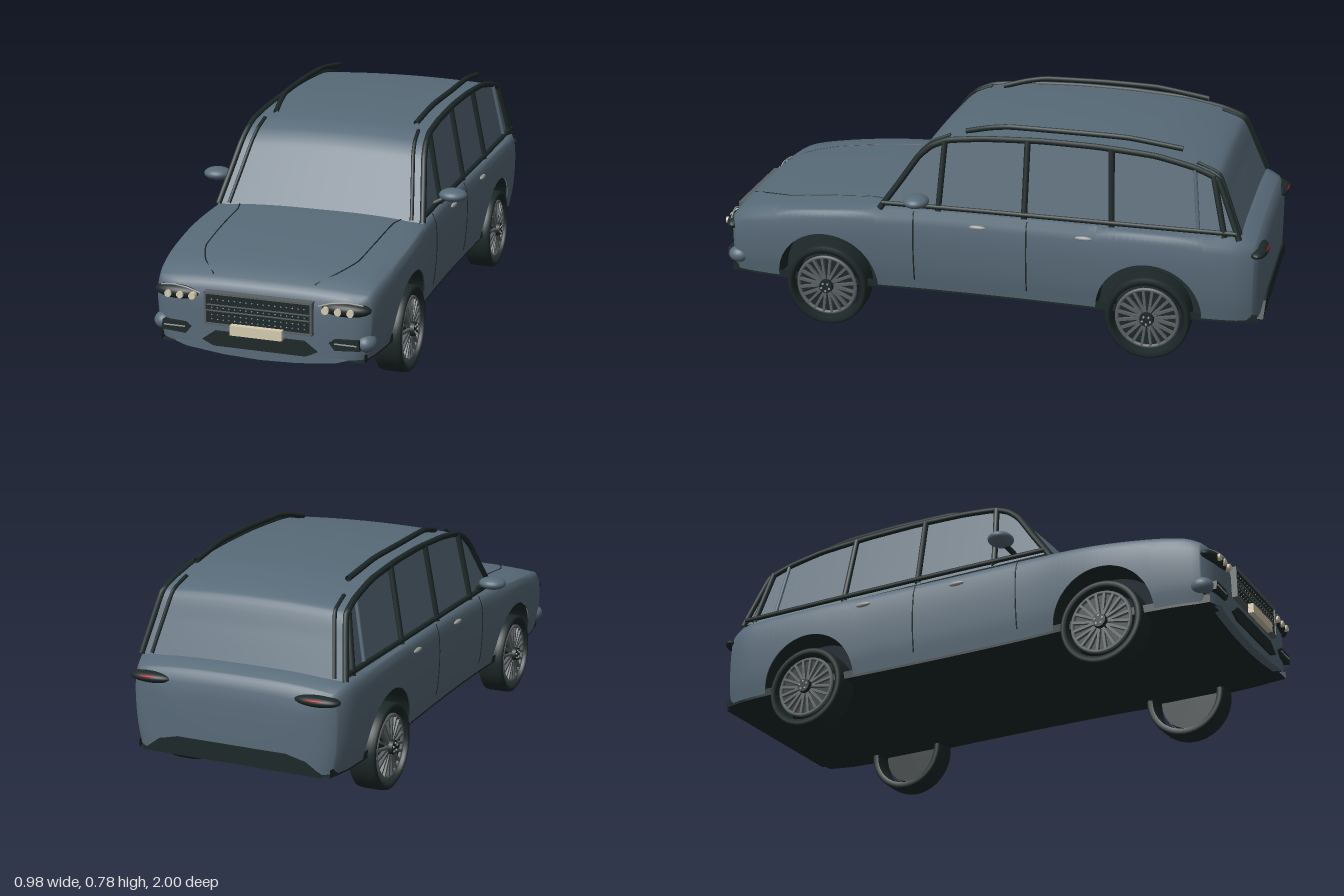
import * as THREE from 'three';

const mat = (name, color) => new THREE.MeshStandardMaterial({ name, color, side: THREE.DoubleSide });
const V = (x, y, z) => new THREE.Vector3(x, y, z);

// Smooth function through [key, value] pairs
function smooth(p) {
  const slope = i => {
    const a = p[Math.max(i - 1, 0)], b = p[Math.min(i + 1, p.length - 1)];
    return (b[1] - a[1]) / (b[0] - a[0]);
  };
  return q => {
    const x = Math.min(Math.max(q, p[0][0]), p[p.length - 1][0]);
    let i = 0;
    while (i < p.length - 2 && x > p[i + 1][0]) i++;
    const h = p[i + 1][0] - p[i][0], t = (x - p[i][0]) / h, t2 = t * t, t3 = t2 * t;
    return (2 * t3 - 3 * t2 + 1) * p[i][1] + (t3 - 2 * t2 + t) * h * slope(i)
      + (3 * t2 - 2 * t3) * p[i + 1][1] + (t3 - t2) * h * slope(i + 1);
  };
}

// Surface through rows of points of equal length
function skin(rows) {
  const n = rows[0].length, idx = [];
  for (let r = 0; r < rows.length - 1; r++) for (let c = 0; c < n - 1; c++) {
    const a = r * n + c, b = a + n;
    idx.push(a, b, a + 1, b, b + 1, a + 1);
  }
  const g = new THREE.BufferGeometry();
  g.setAttribute('position', new THREE.Float32BufferAttribute(rows.flat().flatMap(v => [v.x, v.y, v.z]), 3));
  g.setIndex(idx);
  g.computeVertexNormals();
  return g;
}

// Body proportions
const WHEELS = [0.57, -0.6], ARCH = 0.187, ARCH_Y = 0.165, BASE = 0.165;
const halfWidth = smooth([[-0.955, 0.375], [-0.91, 0.393], [-0.82, 0.402], [-0.6, 0.406], [-0.3, 0.396], [0, 0.391],
  [0.3, 0.395], [0.55, 0.408], [0.75, 0.4], [0.86, 0.388], [0.92, 0.375]]);
const topLine = smooth([[-0.955, 0.455], [-0.91, 0.475], [-0.85, 0.482], [0, 0.482], [0.36, 0.475], [0.6, 0.457],
  [0.78, 0.435], [0.88, 0.415], [0.92, 0.395]]);
const sideShape = smooth([[0, 0.95], [0.25, 0.985], [0.6, 1], [0.85, 0.985], [0.94, 0.955]]);
const sideX = (y, z) => halfWidth(z) * sideShape((y - BASE) / (topLine(z) - BASE));
const topY = (x, z) => BASE + (topLine(z) - BASE) * (1 - 0.06 * Math.abs(x / (0.955 * halfWidth(z))) ** 3);
const edgeX = y => 0.378 - (y - 0.47) * 0.19;

function section(z) {
  let bottom = BASE;
  for (const c of WHEELS) {
    const d = ARCH * ARCH - (z - c) ** 2;
    if (d > 0) bottom = Math.max(bottom, ARCH_Y + Math.sqrt(d));
  }
  const shoulder = BASE + 0.94 * (topLine(z) - BASE), half = [];
  for (let i = 0; i <= 12; i++) {
    const y = bottom + (shoulder - bottom) * i / 12;
    half.push(V(sideX(y, z), y, z));
  }
  for (let i = 1; i <= 8; i++) {
    const x = 0.955 * halfWidth(z) * (1 - i / 8);
    half.push(V(x, topY(x, z), z));
  }
  return [...half, ...half.slice(0, -1).reverse().map(p => V(-p.x, p.y, p.z))];
}

export function createModel() {
  const car = new THREE.Group();
  const paint = mat('slate paint', 0x586a78), dark = mat('dark trim', 0x1d2828), silver = mat('silver', 0x9a9c98);
  const cream = mat('cream', 0xd6ccb0), red = mat('tail red', 0x9c1c1c), alloy = mat('alloy grey', 0x5a6062);

  const add = (name, geo, m, x = 0, y = 0, z = 0, parent = car) => {
    const mesh = new THREE.Mesh(geo, m);
    mesh.name = name;
    mesh.position.set(x, y, z);
    parent.add(mesh);
    return mesh;
  };
  const box = (name, w, h, d, m, x, y, z) => add(name, new THREE.BoxGeometry(w, h, d), m, x, y, z);
  const ball = (name, rx, ry, rz, m, x, y, z) =>
    add(name, new THREE.SphereGeometry(1, 28, 16), m, x, y, z).scale.set(rx, ry, rz);
  const tube = (name, pts, r, m, tension = 0.2) =>
    add(name, new THREE.TubeGeometry(new THREE.CatmullRomCurve3(pts, false, 'catmullrom', tension), pts.length * 6, r, 8), m);
  const plate = (name, pts, depth, m, z) => add(name, new THREE.ExtrudeGeometry(
    new THREE.Shape(pts.map(p => new THREE.Vector2(...p))), { depth, bevelEnabled: false }), m, 0, 0, z);

  // Lower body: stations along the length with rounded nose and tail
  const zs = [];
  for (let i = 0; i <= 75; i++) zs.push(-0.955 + 1.875 * i / 75);
  for (const c of WHEELS) for (let i = 0; i <= 32; i++) zs.push(c + ARCH * Math.cos(Math.PI * i / 32));
  zs.sort((a, b) => a - b);
  const ks = [0, 0.4, 0.7, 0.85, 0.92, 0.96, 0.985];
  const cap = (z, depth) => ks.map(k => section(z).map(p =>
    V(p.x * k, BASE + (p.y - BASE) * k, z + depth * (1 - k ** 10))));
  add('bodyShell', skin([...cap(-0.955, -0.033), ...zs.map(section), ...cap(0.92, 0.04).reverse()]), paint);

  // Floor follows the body plan
  const floorRows = [];
  for (let i = 0; i <= 40; i++) {
    const z = -0.975 + 1.92 * i / 40, w = halfWidth(z) * 0.95 - 0.002;
    floorRows.push([V(-w, 0.185, z), V(-w, 0.157, z), V(w, 0.157, z), V(w, 0.185, z)]);
  }
  add('floor', skin(floorRows).toNonIndexed(), dark).geometry.computeVertexNormals();

  // Greenhouse: windscreen, roof and rear window in one sweep
  const profile = [[0.37, 0.472], [0.3, 0.57], [0.235, 0.665], [0.19, 0.705], [0.13, 0.73], [0, 0.745], [-0.2, 0.753],
    [-0.4, 0.75], [-0.6, 0.736], [-0.74, 0.707], [-0.82, 0.674], [-0.86, 0.585], [-0.905, 0.475]];
  const spine = new THREE.CatmullRomCurve3(profile.map(([z, y]) => V(0, y, z)), false, 'catmullrom', 0.35).getPoints(72);
  add('roofAndScreens', skin(spine.map(p => Array.from({ length: 17 }, (_, i) => {
    const u = i / 8 - 1;
    return V(u * edgeX(p.y), p.y - 0.012 * u * u, p.z);
  }))), paint);

  const rim = (inset, lift = 0) => profile.map(([z, y]) => V(edgeX(y) - inset, y - 0.012 + lift, z));
  const roofY = smooth(profile.map(([z, y]) => [z, y - 0.012]).reverse());
  for (const s of [1, -1]) {
    const flip = pts => pts.map(p => V(p.x * s, p.y, p.z));
    // Side glass with its frame and pillars
    add('sideGlass', skin(spine.map(p => [V(s * (edgeX(0.47) - 0.004), 0.468, p.z),
      V(s * (edgeX(p.y) - 0.004), p.y - 0.012, p.z)])), paint);
    tube('windowFrame', flip(rim(0)), 0.011, dark);
    tube('screenFrame', flip(rim(0.04, 0.006).slice(0, 5)), 0.007, dark);
    tube('rearScreenFrame', flip(rim(0.04, 0.006).slice(9)), 0.007, dark);
    tube('beltTrim', flip([V(0.378, 0.482, 0.36), V(0.38, 0.485, 0), V(0.38, 0.485, -0.5), V(0.377, 0.485, -0.895)]), 0.009, dark);
    for (const [low, high] of [[0.155, 0.14], [-0.155, -0.155], [-0.465, -0.45], [-0.855, -0.805]]) {
      const y = roofY(high);
      tube('pillar', flip([V(edgeX(0.47), 0.47, low), V(edgeX(y), y, high)]), 0.011, dark);
    }
    tube('quarterTrim', flip([V(0.378, 0.48, -0.765), V(edgeX(0.69), 0.69, -0.74)]), 0.007, paint);
    // Roof rail
    tube('roofRail', flip([V(0.265, 0.735, 0.08), V(0.277, 0.757, 0), V(0.285, 0.77, -0.08), V(0.292, 0.772, -0.3),
      V(0.29, 0.768, -0.5), V(0.283, 0.742, -0.69)]), 0.01, dark);
    // Door mirror
    ball('mirror', 0.05, 0.023, 0.045, paint, s * 0.442, 0.525, 0.215);
    tube('mirrorStalk', flip([V(0.375, 0.492, 0.235), V(0.42, 0.515, 0.22)]), 0.01, dark);
    // Panel gaps and door handles
    for (const z of [0.245, -0.165]) {
      const pts = [];
      for (let i = 0; i <= 8; i++) { const y = 0.2 + 0.26 * i / 8; pts.push(V(sideX(y, z), y, z)); }
      tube('doorGap', flip(pts), 0.0025, dark);
    }
    for (const z of [0.01, -0.37])
      ball('doorHandle', 0.008, 0.008, 0.03, silver, s * (sideX(0.425, z) + 0.003), 0.425, z);
    tube('bonnetGap', flip([[0.3, 0.36], [0.285, 0.42], [0.28, 0.58], [0.27, 0.75], [0.23, 0.85], [0.175, 0.915]]
      .map(([x, z]) => V(x, topY(x, z), z))), 0.0025, dark);
    // Headlamp cluster
    ball('headlampHousing', 0.088, 0.026, 0.036, dark, s * 0.287, 0.335, 0.937);
    for (const x of [0.23, 0.273, 0.315])
      add('lamp', new THREE.CylinderGeometry(0.012, 0.012, 0.035, 16), cream, s * x, 0.333, 0.96).rotation.x = Math.PI / 2;
    tube('headlampTrim', flip([V(0.205, 0.343, 0.965), V(0.25, 0.358, 0.966), V(0.3, 0.361, 0.957), V(0.35, 0.353, 0.945)]), 0.003, silver);
    // Bumper corner and fog lamp recess
    ball('bumperCorner', 0.035, 0.03, 0.04, paint, s * 0.352, 0.22, 0.918);
    plate('fogRecess', [[0.24, 0.222], [0.26, 0.237], [0.34, 0.237], [0.345, 0.205], [0.26, 0.198]]
      .map(([x, y]) => [s * x, y]), 0.035, dark, 0.932);
    box('fogTrim', 0.075, 0.004, 0.008, silver, s * 0.297, 0.222, 0.966);
    // Tail lamp
    ball('tailHousing', 0.082, 0.02, 0.035, dark, s * 0.305, 0.41, -0.965);
    ball('tailLamp', 0.067, 0.011, 0.033, red, s * 0.305, 0.415, -0.9665);
  }

  // Grille with frame, bars and studs
  box('grille', 0.36, 0.1, 0.03, dark, 0, 0.299, 0.96);
  for (const y of [0.246, 0.352]) box('grilleFrame', 0.374, 0.007, 0.034, alloy, 0, y, 0.963);
  for (const x of [-0.183, 0.183]) box('grilleFrame', 0.007, 0.106, 0.034, alloy, x, 0.299, 0.963);
  for (const y of [0.292, 0.312]) box('grilleBar', 0.355, 0.004, 0.01, alloy, 0, y, 0.973);
  const stud = new THREE.OctahedronGeometry(0.0032);
  for (const y of [0.33, 0.302, 0.278, 0.262])
    for (let i = -8; i <= 8; i++) add('grilleStud', stud, silver, i * 0.02, y, 0.976);
  box('numberPlate', 0.18, 0.034, 0.02, cream, 0, 0.238, 0.989);

  // Lower intake, chin and rear valance
  plate('lowerIntake', [[-0.155, 0.218], [0.155, 0.218], [0.2, 0.185], [0.16, 0.166], [-0.16, 0.166], [-0.2, 0.185]], 0.03, dark, 0.937);
  plate('frontChin', [[-0.36, 0.19], [-0.26, 0.152], [-0.13, 0.137], [0, 0.132], [0.13, 0.137], [0.26, 0.152], [0.36, 0.19]], 0.05, dark, 0.88);
  plate('frontLip', [[-0.3, 0.166], [-0.26, 0.152], [-0.13, 0.137], [0, 0.132], [0.13, 0.137], [0.26, 0.152], [0.3, 0.166]], 0.03, paint, 0.93);
  plate('rearValance', [[-0.33, 0.16], [-0.27, 0.205], [-0.2, 0.222], [0.2, 0.222], [0.27, 0.205], [0.33, 0.16]], 0.03, dark, -0.994);

  // Wheels and arch liners
  const tyre = new THREE.LatheGeometry([[0.126, -0.045], [0.14, -0.05], [0.148, -0.044], [0.15, -0.03], [0.15, 0.03],
    [0.148, 0.044], [0.14, 0.05], [0.126, 0.045], [0.126, -0.045]].map(p => new THREE.Vector2(...p)), 48);
  for (const s of [1, -1]) for (const z of WHEELS) {
    const wheel = new THREE.Group();
    wheel.name = 'wheel';
    wheel.position.set(s * 0.358, 0.15, z);
    wheel.rotation.z = -s * Math.PI / 2;
    car.add(wheel);
    add('tyre', tyre, dark, 0, 0, 0, wheel);
    add('rimBack', new THREE.CylinderGeometry(0.108, 0.108, 0.03, 40), dark, 0, 0.015, 0, wheel);
    add('rimRing', new THREE.TorusGeometry(0.107, 0.007, 8, 40), alloy, 0, 0.036, 0, wheel).rotation.x = Math.PI / 2;
    for (let i = 0; i < 10; i++) {
      const spoke = new THREE.Group();
      spoke.rotation.y = i * Math.PI / 5;
      wheel.add(spoke);
      for (const k of [-1, 1])
        add('spoke', new THREE.BoxGeometry(0.08, 0.012, 0.009), alloy, 0.064, 0.037, k * 0.011, spoke).rotation.y = -k * 0.12;
    }
    add('hub', new THREE.CylinderGeometry(0.024, 0.028, 0.03, 20), dark, 0, 0.042, 0, wheel);
    for (let i = 0; i < 5; i++)
      add('wheelNut', new THREE.CylinderGeometry(0.004, 0.004, 0.006, 6), silver,
        0.015 * Math.cos(i * 1.2566), 0.058, 0.015 * Math.sin(i * 1.2566), wheel);

    const liner = [];
    for (let i = 0; i <= 24; i++) {
      const a = Math.PI * i / 24, y = ARCH_Y + ARCH * Math.sin(a), zz = z + ARCH * Math.cos(a);
      liner.push([V(s * 0.29, y, zz), V(s * (sideX(y, zz) - 0.003), y, zz)]);
    }
    add('archLiner', skin(liner), dark);
  }
  return car;
}
